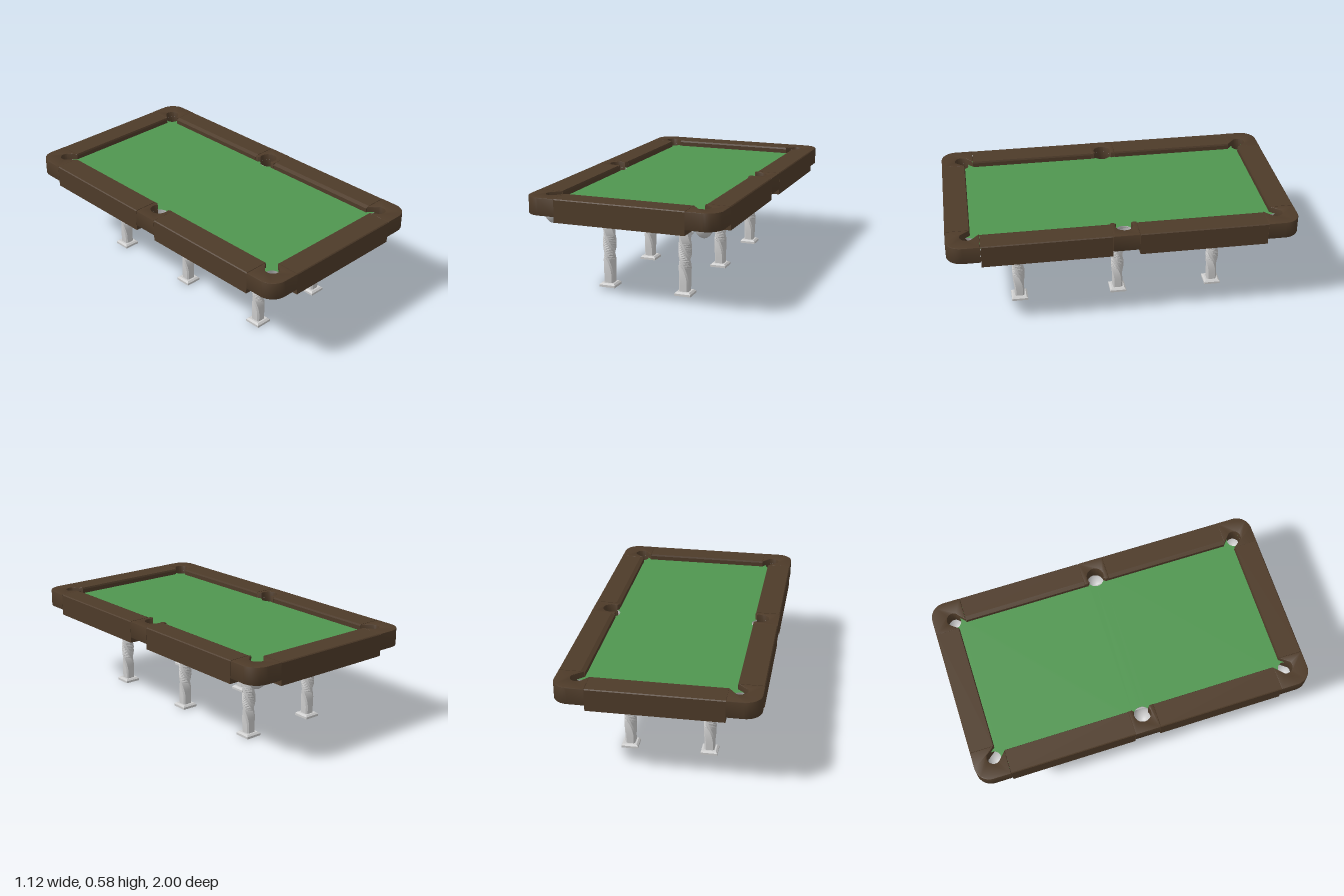
import * as THREE from 'three';
import { toCreasedNormals } from 'three/addons/utils/BufferGeometryUtils.js';

const wood = new THREE.MeshStandardMaterial({ color: 0x4e3b29 });
const felt = new THREE.MeshStandardMaterial({ color: 0x509650, side: THREE.DoubleSide });
const grey = new THREE.MeshStandardMaterial({ color: 0xcccccc });
const greyOpen = new THREE.MeshStandardMaterial({ color: 0xcccccc, side: THREE.DoubleSide });

const TOP = 0.585, CLOTH = 0.55, RAIL_BOTTOM = 0.455, CAP_BOTTOM = 0.485;
const HX = 0.56, HZ = 1;
const CORNER = { x: 0.437, z: 0.878, r: 0.04 };
const MIDDLE = { x: 0.45, z: 0, r: 0.05 };

function add(parent, name, geometry, material) {
  const mesh = new THREE.Mesh(geometry, material);
  mesh.name = name;
  parent.add(mesh);
  return mesh;
}

// Points along an arc, angles in degrees
function arc(cx, cz, r, from, to, n = 12) {
  return Array.from({ length: n + 1 }, (_, i) => {
    const a = THREE.MathUtils.degToRad(from + (to - from) * i / n);
    return [cx + r * Math.cos(a), cz + r * Math.sin(a)];
  });
}

// Wooden block from a plan outline, mirrored by sx and sz
function capGeometry(points, sx, sz) {
  const b = 0.004;
  const shape = new THREE.Shape(points.map(([x, z]) => new THREE.Vector2(x * sx, z * sz)));
  const geo = new THREE.ExtrudeGeometry(shape, {
    depth: TOP - CAP_BOTTOM - 2 * b, bevelSize: b, bevelThickness: b, bevelOffset: -b, bevelSegments: 2
  });
  geo.rotateX(Math.PI / 2).translate(0, TOP - b, 0);
  return toCreasedNormals(geo, 0.6);
}

// Straight rail: section in x and y, running along z, then turned to its side
function rail(parent, name, outer, inner, lip, length, along, angle) {
  const section = [
    [outer, RAIL_BOTTOM], [outer, TOP - 0.005], [outer - 0.005, TOP], [inner + lip, TOP],
    [inner, TOP - 0.01], [inner, CLOTH - 0.006], [inner + 0.04, CLOTH - 0.03], [inner + 0.04, RAIL_BOTTOM]
  ];
  const shape = new THREE.Shape(section.map(p => new THREE.Vector2(...p)));
  const geo = new THREE.ExtrudeGeometry(shape, { depth: length, bevelEnabled: false });
  geo.translate(0, 0, along - length / 2).rotateY(angle);
  add(parent, name, geo, wood);
}

// Shallow underbody: rounded rectangles stacked from the cloth down
function underbodyGeometry() {
  const rings = [
    [0.41, 0.85, 0.545], [0.365, 0.80, 0.50], [0.325, 0.76, 0.455], [0.313, 0.745, 0.435],
    [0.295, 0.725, 0.415], [0.273, 0.70, 0.4], [0.25, 0.675, 0.393], [0.23, 0.655, 0.392]
  ];
  const pos = [], index = [];
  let n = 0;
  rings.forEach(([hx, hz, y]) => {
    const r = 0.08, ring = [];
    [[1, 1], [-1, 1], [-1, -1], [1, -1]].forEach(([sx, sz], q) =>
      ring.push(...arc(sx * (hx - r), sz * (hz - r), r, q * 90, q * 90 + 90, 8)));
    n = ring.length;
    ring.forEach(([x, z]) => pos.push(x, y, z));
  });
  for (let k = 0; k < rings.length - 1; k++) {
    for (let i = 0; i < n; i++) {
      const j = (i + 1) % n, a = k * n, b = a + n;
      index.push(a + i, a + j, b + i, a + j, b + j, b + i);
    }
  }
  const centre = pos.length / 3, last = (rings.length - 1) * n;
  pos.push(0, 0.392, 0);
  for (let i = 0; i < n; i++) index.push(last + i, last + (i + 1) % n, centre);
  const geo = new THREE.BufferGeometry();
  geo.setAttribute('position', new THREE.Float32BufferAttribute(pos, 3));
  geo.setIndex(index);
  return toCreasedNormals(geo, 0.7);
}

// Square post with cut corners, twisted half a turn in its middle stretch
function legGeometry() {
  const h = 0.03, c = 0.009;
  const outline = [[h, -h + c], [h, h - c], [h - c, h], [c - h, h], [-h, h - c], [-h, c - h], [c - h, -h], [h - c, -h]];
  const shape = new THREE.Shape(outline.map(p => new THREE.Vector2(...p)));
  const geo = new THREE.ExtrudeGeometry(shape, { depth: 0.38, steps: 36, bevelEnabled: false });
  geo.rotateX(-Math.PI / 2).translate(0, 0.018, 0);
  const p = geo.attributes.position;
  for (let i = 0; i < p.count; i++) {
    const x = p.getX(i), y = p.getY(i), z = p.getZ(i);
    const a = Math.PI * THREE.MathUtils.smoothstep(y, 0.06, 0.39);
    const s = 0.93 + 0.17 * y / 0.39;
    p.setXYZ(i, s * (x * Math.cos(a) - z * Math.sin(a)), y, s * (x * Math.sin(a) + z * Math.cos(a)));
  }
  return toCreasedNormals(geo, 0.55);
}

// Square foot plate with a bevelled top and hollow underside
function footGeometry() {
  const profile = [[0, 0.008], [0.03, 0.008], [0.03, 0], [0.048, 0], [0.048, 0.013], [0.038, 0.022], [0, 0.022]];
  const points = profile.map(([r, y]) => new THREE.Vector2(r * Math.SQRT2, y));
  const geo = new THREE.LatheGeometry(points, 4).rotateY(Math.PI / 4);
  return toCreasedNormals(geo, 0.4);
}

export function createModel() {
  const model = new THREE.Group();
  model.name = 'poolTable';
  const sides = [1, -1];

  // Pocket positions
  const pockets = [];
  for (const sx of sides) {
    pockets.push({ ...MIDDLE, x: sx * MIDDLE.x });
    for (const sz of sides) pockets.push({ ...CORNER, x: sx * CORNER.x, z: sz * CORNER.z });
  }

  // Playing cloth with pocket holes
  const plan = new THREE.Shape([[-1, -1], [1, -1], [1, 1], [-1, 1]].map(([x, z]) => new THREE.Vector2(x * 0.52, z * 0.94)));
  pockets.forEach(p => plan.holes.push(new THREE.Path().absarc(p.x, -p.z, p.r, 0, Math.PI * 2, true)));
  add(model, 'cloth', new THREE.ShapeGeometry(plan, 16).rotateX(-Math.PI / 2).translate(0, CLOTH, 0), felt);

  // Pocket bowls
  const bowl = Array.from({ length: 11 }, (_, i) => {
    const a = i / 10 * Math.PI / 2;
    return new THREE.Vector2(0.057 * Math.sin(a), 0.51 - 0.09 * Math.cos(a));
  });
  for (const p of pockets) {
    const points = [...bowl, new THREE.Vector2(p.r, CLOTH)];
    add(model, 'pocketBowl', new THREE.LatheGeometry(points, 28), greyOpen).position.set(p.x, 0, p.z);
  }

  // Corner and middle pocket blocks
  const cornerPlan = [
    [0.375, HZ], ...arc(HX - 0.09, HZ - 0.09, 0.09, 90, 0), [HX, 0.81], [0.42, 0.81],
    ...arc(CORNER.x, CORNER.z, CORNER.r, -30, 120, 18), [0.375, 0.86]
  ];
  const middlePlan = [
    [0.415, -0.075], [HX, -0.075], [HX, 0.075], [0.415, 0.075], [0.415, 0.055],
    ...arc(MIDDLE.x, 0, MIDDLE.r, 120, -120, 20), [0.415, -0.055]
  ];
  for (const sx of sides) {
    add(model, 'middlePocketBlock', capGeometry(middlePlan, sx, 1), wood);
    for (const sz of sides) add(model, 'cornerPocketBlock', capGeometry(cornerPlan, sx, sz), wood);
  }

  // Rails
  for (const s of sides) {
    rail(model, 'leftRail', HX, 0.415, 0.022, 0.733, s * 0.4425, 0);
    rail(model, 'rightRail', HX, 0.415, 0.004, 0.733, s * 0.4425, Math.PI);
    rail(model, 'endRail', HZ, 0.86, 0.004, 0.75, 0, -s * Math.PI / 2);
  }

  add(model, 'underbody', underbodyGeometry(), greyOpen);

  // Six twisted legs on square feet
  const legGeo = legGeometry(), footGeo = footGeometry();
  for (const x of [-0.238, 0.222]) {
    for (const z of [0.595, 0.003, -0.575]) {
      const leg = new THREE.Group();
      leg.name = 'leg';
      add(leg, 'legPost', legGeo, grey);
      add(leg, 'legFoot', footGeo, greyOpen);
      leg.position.set(x, 0, z);
      model.add(leg);
    }
  }
  return model;
}
